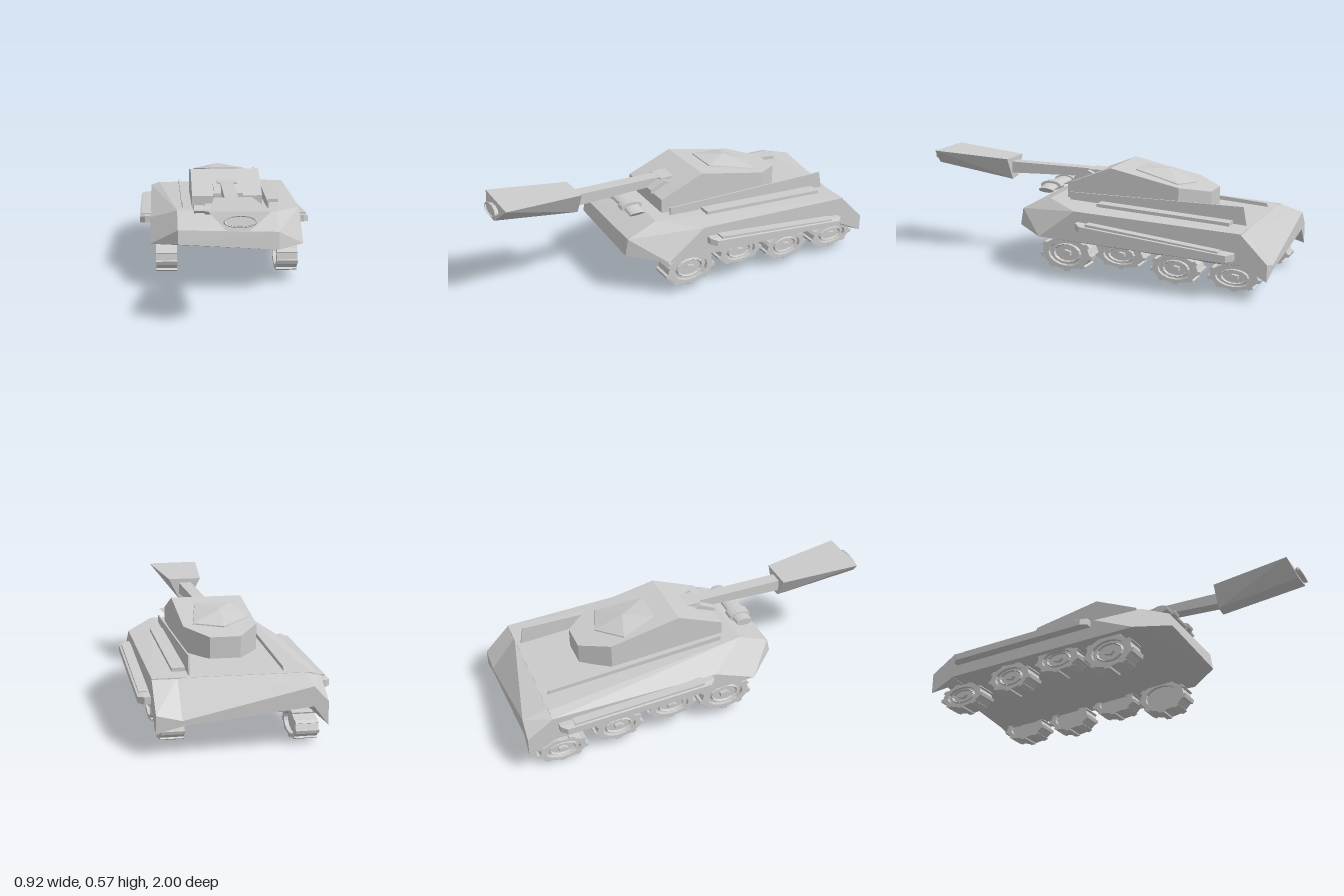
import * as THREE from 'three';
import { ConvexGeometry } from 'three/addons/geometries/ConvexGeometry.js';

const mat = new THREE.MeshStandardMaterial({ color: 0xcccccc, flatShading: true, side: THREE.DoubleSide });

function add(parent, name, geometry, x = 0, y = 0, z = 0) {
  const mesh = new THREE.Mesh(geometry, mat);
  mesh.name = name;
  mesh.position.set(x, y, z);
  parent.add(mesh);
  return mesh;
}

// Faceted solid from its corner points
const solid = (pts) => new ConvexGeometry(pts.map((p) => new THREE.Vector3(...p)));

// Side profile of [z, y] points given thickness between x0 and x1
const slab = (x0, x1, profile) =>
  solid(profile.flatMap(([z, y]) => [[x0, y, z], [x1, y, z]]));

// Toothed tyre with an open centre, extruded along x
function tyreGeometry(teeth, width) {
  const shape = new THREE.Shape();
  const step = (Math.PI * 2) / teeth;
  for (let i = 0; i < teeth; i++) {
    [[0, 0.9], [0.6, 0.9], [0.64, 1], [0.96, 1]].forEach(([t, r], k) => {
      const a = (i + t) * step;
      const p = [Math.cos(a) * r, Math.sin(a) * r];
      if (i + k === 0) shape.moveTo(...p);
      else shape.lineTo(...p);
    });
  }
  shape.closePath();
  const hole = new THREE.Path();
  hole.absarc(0, 0, 0.68, 0, Math.PI * 2, true);
  shape.holes.push(hole);
  return new THREE.ExtrudeGeometry(shape, { depth: width, bevelEnabled: false, curveSegments: 8 })
    .translate(0, 0, -width / 2)
    .rotateY(Math.PI / 2);
}

function wheel(side, z, y, rz, ry) {
  const g = new THREE.Group();
  g.name = 'wheel';
  add(g, 'tyre', tyreGeometry(9, 0.11));
  const disc = new THREE.CylinderGeometry(0.7, 0.7, 0.07, 14).rotateZ(Math.PI / 2);
  add(g, 'wheelDisc', disc);
  const rim = new THREE.TorusGeometry(0.5, 0.05, 4, 14).rotateY(Math.PI / 2).scale(0.2, 1, 1);
  add(g, 'rim', rim, side * 0.038);
  const hub = new THREE.CylinderGeometry(0.2, 0.2, 0.03, 5).rotateZ(Math.PI / 2);
  add(g, 'hub', hub, side * 0.04);
  g.scale.set(1, ry, rz);
  g.position.set(side * 0.317, y, z);
  return g;
}

export function createModel() {
  const tank = new THREE.Group();
  tank.name = 'tank';

  // Hull: sloped deck, cut front corners, slightly twisted floor
  add(tank, 'hull', solid([
    [-0.26, 0.4, 0.2], [0.255, 0.388, 0.2],
    [-0.4, 0.318, 0], [0.4, 0.365, 0],
    [-0.26, 0.335, 0.36], [0.255, 0.32, 0.36],
    [-0.26, 0.265, 0.375], [0.255, 0.23, 0.375],
    [-0.4, 0.23, 0.22], [0.4, 0.215, 0.2],
    [-0.4, 0.312, -0.87], [-0.35, 0.328, -0.87], [0.4, 0.332, -0.87],
    [-0.4, 0.18, -0.87], [0.4, 0.178, -0.87],
    [-0.26, 0.165, -0.87], [0.255, 0.125, -0.87],
  ]));

  // Tail: twisted rear slope with drooping corners, [x, top, bottom, rearTop, rearBottom]
  const tail = [
    [-0.4, 0.312, 0.18, 0.22, 0.11],
    [-0.33, 0.328, 0.17, 0.295, 0.2],
    [0.28, 0.331, 0.13, 0.165, 0.14],
    [0.4, 0.332, 0.178, 0.195, 0.11],
  ];
  for (let i = 0; i < 3; i++) {
    add(tank, 'tail', solid([tail[i], tail[i + 1]].flatMap(([x, top, low, rearTop, rearLow]) => [
      [x, top, -0.865], [x, low, -0.865], [x, rearTop, -1], [x, rearLow, -1],
    ])));
  }

  // Turret: vertical walls, sloped face, roof falling to the rear
  const plan = [[-0.18, -0.48], [-0.07, -0.62], [0.08, -0.62], [0.187, -0.48], [0.187, 0.13], [-0.18, 0.13]];
  const roofY = (z) => (z > 0 ? 0.46 : 0.557 + (z + 0.11) * 0.2);
  add(tank, 'turret', solid([
    ...plan.flatMap(([x, z]) => [[x, 0.35, z], [x, roofY(z), z]]),
    [-0.18, 0.557, -0.11], [0.187, 0.557, -0.11],
  ]));

  // Five-sided domed hatch
  const hatch = [[-0.16, -0.4], [-0.01, -0.51], [0.14, -0.46], [0.085, -0.21], [-0.1, -0.21]];
  add(tank, 'hatch', solid([
    ...hatch.flatMap(([x, z]) => [[x, roofY(z) - 0.01, z], [x * 0.96, roofY(z) + 0.006, z]]),
    [-0.02, 0.541, -0.36],
  ]));

  // Gun: mount, barrel and flared muzzle
  const gun = new THREE.Group();
  gun.name = 'gun';
  tank.add(gun);
  add(gun, 'gunMount', slab(-0.067, 0.087, [[-0.02, 0.475], [0.06, 0.515], [0.14, 0.475], [0.14, 0.455], [0, 0.44]]));
  add(gun, 'mountPlate', slab(-0.045, 0.06, [[-0.02, 0.517], [0.07, 0.517], [0.07, 0.49], [-0.02, 0.49]]));
  add(gun, 'barrel', slab(-0.028, 0.04, [[-0.05, 0.516], [-0.05, 0.478], [0.55, 0.52], [0.55, 0.458]]));
  add(gun, 'muzzle', solid([
    [-0.085, 0.542, 0.535], [0.098, 0.542, 0.535], [-0.027, 0.43, 0.535], [0.036, 0.422, 0.535],
    [-0.132, 0.572, 0.955], [0.152, 0.57, 0.955], [-0.05, 0.488, 0.985], [0.052, 0.488, 0.985],
  ]));
  const ring = add(gun, 'muzzleRing', new THREE.TorusGeometry(0.07, 0.007, 5, 24).scale(1, 0.36, 1), 0.01, 0.531, 0.985);
  ring.rotation.x = -0.35;
  const bore = new THREE.CylinderGeometry(0.068, 0.068, 0.016, 24).rotateX(Math.PI / 2).scale(1, 0.36, 1);
  add(gun, 'bore', bore, 0.01, 0.531, 0.975).rotation.x = -0.35;

  // Stepped cross tube in front of the turret: [x0, x1, radius]
  const tube = new THREE.Group();
  tube.name = 'crossTube';
  tube.position.set(0, 0.422, 0.265);
  tube.scale.y = 0.43;
  tank.add(tube);
  [[-0.175, -0.12, 0.045], [-0.12, -0.06, 0.06], [-0.06, 0.07, 0.045], [0.07, 0.115, 0.06]].forEach(([a, b, r]) => {
    add(tube, 'tubeSection', new THREE.CylinderGeometry(r, r, b - a, 14).rotateZ(Math.PI / 2), (a + b) / 2);
  });
  const bend = new THREE.CylinderGeometry(0.042, 0.042, 0.075, 14).rotateZ(Math.PI / 2);
  add(tube, 'tubeEnd', bend, 0.14, -0.02).rotation.z = -0.45;

  // Deck fins: the left one stays level, the right one is low and follows the deck
  add(tank, 'deckFin', slab(0.218, 0.226, [[0.1, 0.423], [0.1, 0.365], [-0.83, 0.425], [-0.85, 0.32]]));
  add(tank, 'deckFin', slab(-0.234, -0.226, [[0.1, 0.418], [0.1, 0.36], [-0.83, 0.35], [-0.85, 0.31]]));

  // Low stowage box on the left deck
  add(tank, 'deckBox', slab(0.23, 0.295, [[-0.08, 0.39], [-0.08, 0.35], [-0.78, 0.355], [-0.78, 0.31]]));

  // Sloped side plates with chamfered ends, each carrying a narrow bar: [side, height, drop]
  [[-1, 0.304, 0.042], [1, 0.298, 0.075]].forEach(([s, y, drop]) => {
    const end = (z, h) => [
      [s * 0.38, h + 0.015, z], [s * 0.38, h - 0.02, z],
      [s * 0.43, h + 0.015, z], [s * 0.43, h - 0.02, z],
    ];
    const outer = (z, h) => [[s * 0.458, h + 0.008, z], [s * 0.458, h - 0.022, z]];
    add(tank, 'sidePlate', solid([
      ...end(-0.02, y), ...end(-0.84, y - drop),
      ...outer(-0.05, y - 0.003), ...outer(-0.81, y - drop + 0.003),
    ]));
    add(tank, 'sideBar', slab(s * 0.39, s * 0.448, [
      [-0.08, y + 0.018], [-0.08, y], [-0.4, y + 0.016 - drop * 0.4], [-0.77, y + 0.025 - drop], [-0.77, y - drop],
    ]));
  });

  // Four squashed wheels per side: [z, y, half length, half height, rise of the right one]
  [
    [0.06, 0.132, 0.146, 0.094, 0.008],
    [-0.24, 0.156, 0.135, 0.072, 0.006],
    [-0.53, 0.116, 0.132, 0.078, 0.004],
    [-0.83, 0.108, 0.135, 0.07, -0.036],
  ].forEach(([z, y, rz, ry, rise]) => {
    tank.add(wheel(1, z, y, rz, ry));
    tank.add(wheel(-1, z + 0.01, y + rise, rz, ry));
  });

  return tank;
}
